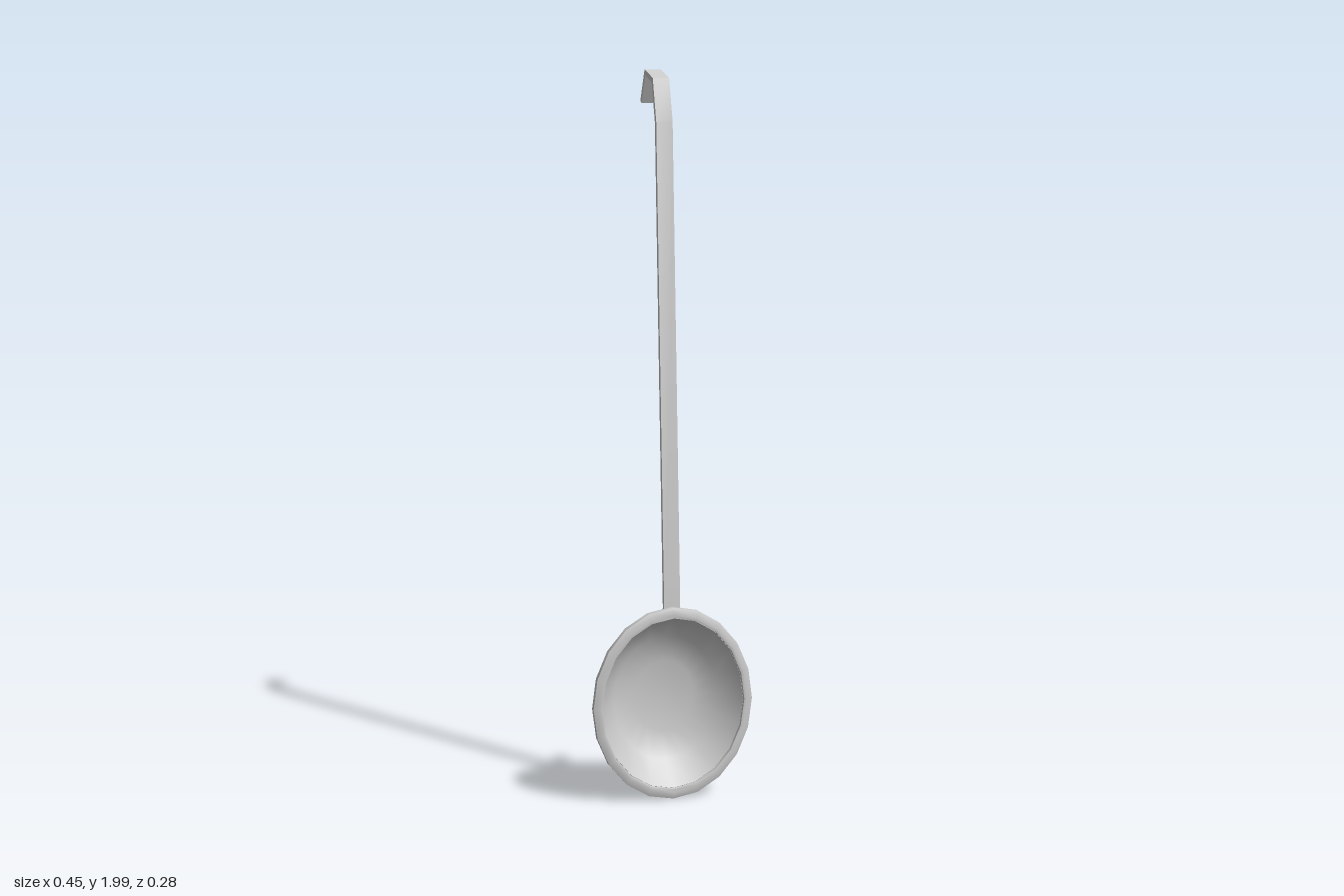
import * as THREE from 'three';
import { toCreasedNormals } from 'three/addons/utils/BufferGeometryUtils.js';

const material = new THREE.MeshStandardMaterial({ color: 0xcccccc, side: THREE.DoubleSide });

// Oval turned part: profile of [radius, depth], axis along z, taller than wide
function ovalLathe(name, profile) {
  const geo = new THREE.LatheGeometry(profile.map(p => new THREE.Vector2(...p)), 20);
  geo.rotateX(Math.PI / 2).scale(1, 1.184, 1);
  const mesh = new THREE.Mesh(toCreasedNormals(geo, 0.9), material);
  mesh.name = name;
  return mesh;
}

// Flat bent strip: side path of [z, y] given thickness and width
function strip(name, path, thickness, width) {
  const pts = path.map(p => new THREE.Vector2(...p));
  const normal = (a, b) => new THREE.Vector2(a.y - b.y, b.x - a.x).normalize();
  const left = [], right = [];
  pts.forEach((p, i) => {
    const n1 = normal(pts[Math.max(i - 1, 0)], pts[Math.max(i, 1)]);
    const last = pts.length - 1;
    const n2 = normal(pts[Math.min(i, last - 1)], pts[Math.min(i + 1, last)]);
    const miter = n1.clone().add(n2).normalize();
    miter.multiplyScalar(thickness / 2 / miter.dot(n1));
    left.push(p.clone().add(miter));
    right.unshift(p.clone().sub(miter));
  });
  const geo = new THREE.ExtrudeGeometry(new THREE.Shape([...left, ...right]), { depth: width, bevelEnabled: false });
  geo.translate(0, 0, -width / 2).rotateY(-Math.PI / 2);
  const mesh = new THREE.Mesh(toCreasedNormals(geo, 0.9), material);
  mesh.name = name;
  return mesh;
}

export function createModel() {
  const model = new THREE.Group();
  model.name = 'ladle';

  // The whole ladle is turned a little about the upright axis through the rim
  const body = new THREE.Group();
  body.name = 'ladleBody';
  body.position.z = 0.0925;
  body.rotation.y = -0.166;
  model.add(body);

  // Bowl: outer and inner shells in one profile
  const bowl = ovalLathe('bowl', [
    [0, -0.125], [0.086, -0.118], [0.157, -0.091], [0.216, -0.008],
    [0.203, 0.004], [0.15, -0.066], [0.086, -0.083], [0, -0.089],
  ]);

  // Raised band around the mouth
  const rim = ovalLathe('rim', [
    [0.203, -0.008], [0.228, -0.008], [0.228, 0.008],
    [0.211, 0.015], [0.204, 0.013], [0.203, -0.008],
  ]);
  bowl.position.y = rim.position.y = 0.275;

  // Handle: tail behind the bowl, long shaft and hanging hook
  const path = [
    [-0.053, 0.462], [-0.032, 0.459], [-0.008, 0.474], [0.081, 0.537],
    [0.007, 1.86], [-0.024, 1.972], [-0.092, 1.992], [-0.13, 1.912],
  ].map(([z, y]) => [(z - 0.0925) / 0.986, y]);

  body.add(bowl, rim, strip('handle', path, 0.013, 0.046));
  return model;
}
